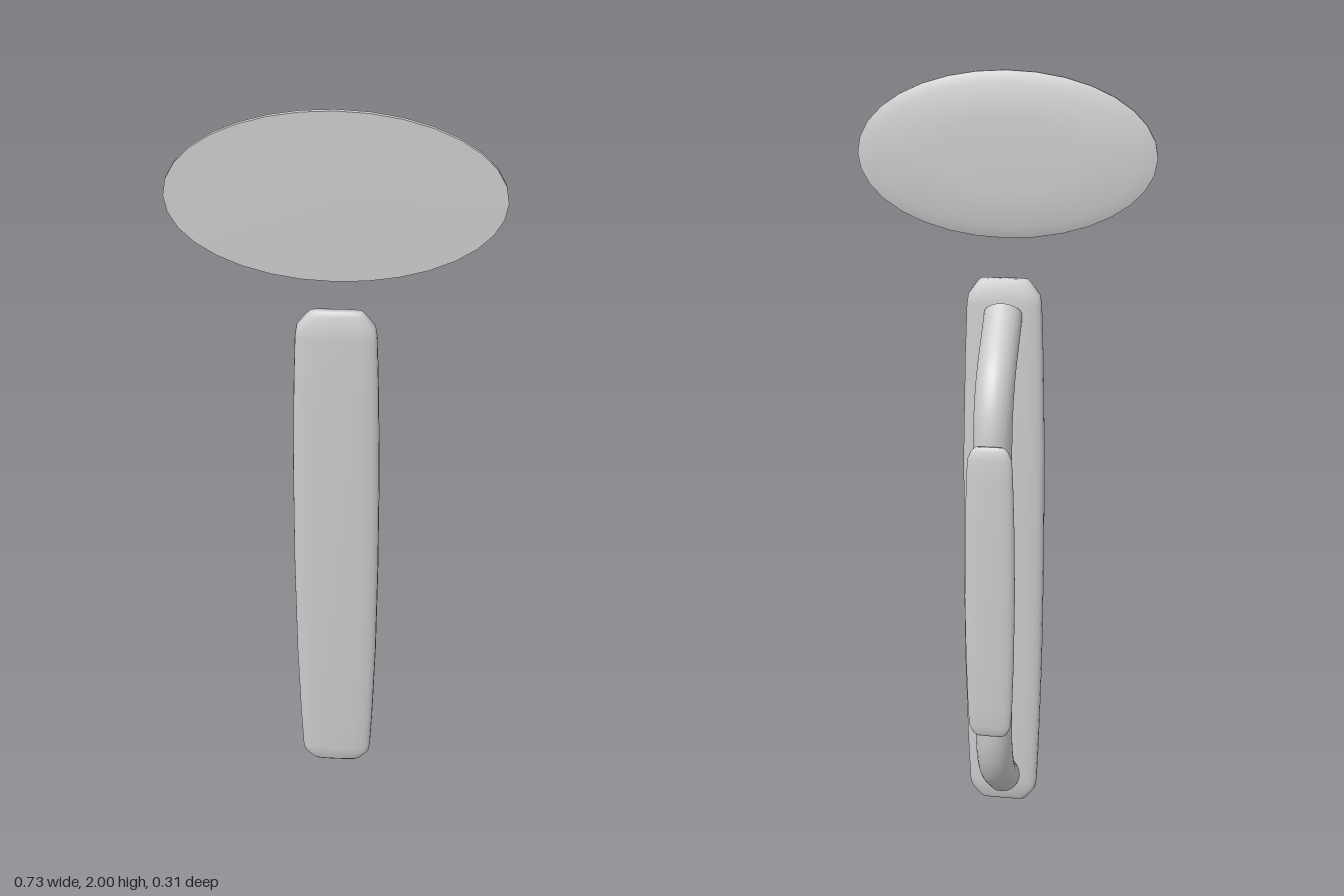
import * as THREE from 'three';
import { toCreasedNormals } from 'three/addons/utils/BufferGeometryUtils.js';

// Soft bar along y: rounded cross-sections that narrow towards both ends.
// rows: [height, half width, half depth] from the bottom up to the middle.
function softBar(rows, centreY, power) {
  const half = rows.map(([y, w, d]) => [y, w, d]);
  const upper = half.slice(0, -1).reverse().map(([y, w, d]) => [2 * centreY - y, w, d]);
  const all = [...half, ...upper];
  const n = 32, pos = [], idx = [];
  const bend = (v) => Math.sign(v) * Math.pow(Math.abs(v), power);
  for (const [y, w, d] of all) {
    for (let i = 0; i < n; i++) {
      const a = (i / n) * Math.PI * 2;
      pos.push(w * bend(Math.cos(a)), y, d * bend(Math.sin(a)));
    }
  }
  for (let r = 0; r < all.length - 1; r++) {
    for (let i = 0; i < n; i++) {
      const a = r * n + i, b = r * n + (i + 1) % n;
      idx.push(a, a + n, b, b, a + n, b + n);
    }
  }
  // End caps
  const last = (all.length - 1) * n, bottom = pos.length / 3, top = bottom + 1;
  pos.push(0, all[0][0], 0, 0, all[all.length - 1][0], 0);
  for (let i = 0; i < n; i++) {
    const j = (i + 1) % n;
    idx.push(bottom, i, j, top, last + j, last + i);
  }
  const g = new THREE.BufferGeometry();
  g.setAttribute('position', new THREE.Float32BufferAttribute(pos, 3));
  g.setIndex(idx);
  g.computeVertexNormals();
  return g;
}

export function createModel() {
  const group = new THREE.Group();
  const metal = new THREE.MeshStandardMaterial({ color: 0xcccccc });
  metal.name = 'light grey metal';
  const add = (name, geometry, z = 0) => {
    const mesh = new THREE.Mesh(geometry, metal);
    mesh.name = name;
    mesh.position.z = z;
    group.add(mesh);
    return mesh;
  };

  // Oval plate: flat front, bevelled and slightly domed back
  const profile = [[0, 0.133], [0.45, 0.134], [0.87, 0.137], [1, 0.148], [1, 0.157], [0, 0.157]];
  const oval = new THREE.LatheGeometry(profile.map(([r, y]) => new THREE.Vector2(r, y)), 32);
  oval.rotateX(Math.PI / 2);
  oval.scale(0.365, 0.2, 1);
  oval.translate(0, 1.8, 0);
  add('ovalPlate', toCreasedNormals(oval, 0.7));

  // Long backing plate
  add('backingPlate', softBar([
    [0.005, 0.058, 0.008], [0.015, 0.068, 0.015], [0.045, 0.09, 0.022], [0.07, 0.094, 0.025],
    [0.2, 0.099, 0.028], [0.45, 0.105, 0.03], [0.755, 0.107, 0.031],
  ], 0.755, 0.6), 0.125);

  // Bent tubular handle
  const p = (y, z) => new THREE.Vector3(0, y, z);
  const ends = [p(0.09, 0.106), p(1.418, 0.106)];
  const corners = [p(0.23, -0.065), p(1.25, -0.085)];
  const toward = (a, b, d) => a.clone().add(b.clone().sub(a).setLength(d));
  const bendIn = [toward(corners[0], ends[0], 0.12), toward(corners[1], corners[0], 0.13)];
  const bendOut = [toward(corners[0], corners[1], 0.13), toward(corners[1], ends[1], 0.12)];
  const path = new THREE.CurvePath();
  path.add(new THREE.LineCurve3(ends[0], bendIn[0]));
  path.add(new THREE.QuadraticBezierCurve3(bendIn[0], corners[0], bendOut[0]));
  path.add(new THREE.LineCurve3(bendOut[0], bendIn[1]));
  path.add(new THREE.QuadraticBezierCurve3(bendIn[1], corners[1], bendOut[1]));
  path.add(new THREE.LineCurve3(bendOut[1], ends[1]));
  add('handleTube', new THREE.TubeGeometry(path, 80, 0.048, 24));
  ends.forEach((end, i) => {
    const cap = add('handleEnd', new THREE.CircleGeometry(0.048, 24));
    cap.position.copy(end);
    cap.lookAt(end.clone().multiplyScalar(2).sub(corners[i]));
  });

  // Grip pad on the back of the handle
  add('gripPad', softBar([
    [0.36, 0.035, 0.005], [0.368, 0.044, 0.01], [0.39, 0.054, 0.015],
    [0.44, 0.057, 0.018], [0.58, 0.061, 0.021], [0.757, 0.063, 0.022],
  ], 0.757, 0.7), -0.135);

  return group;
}
